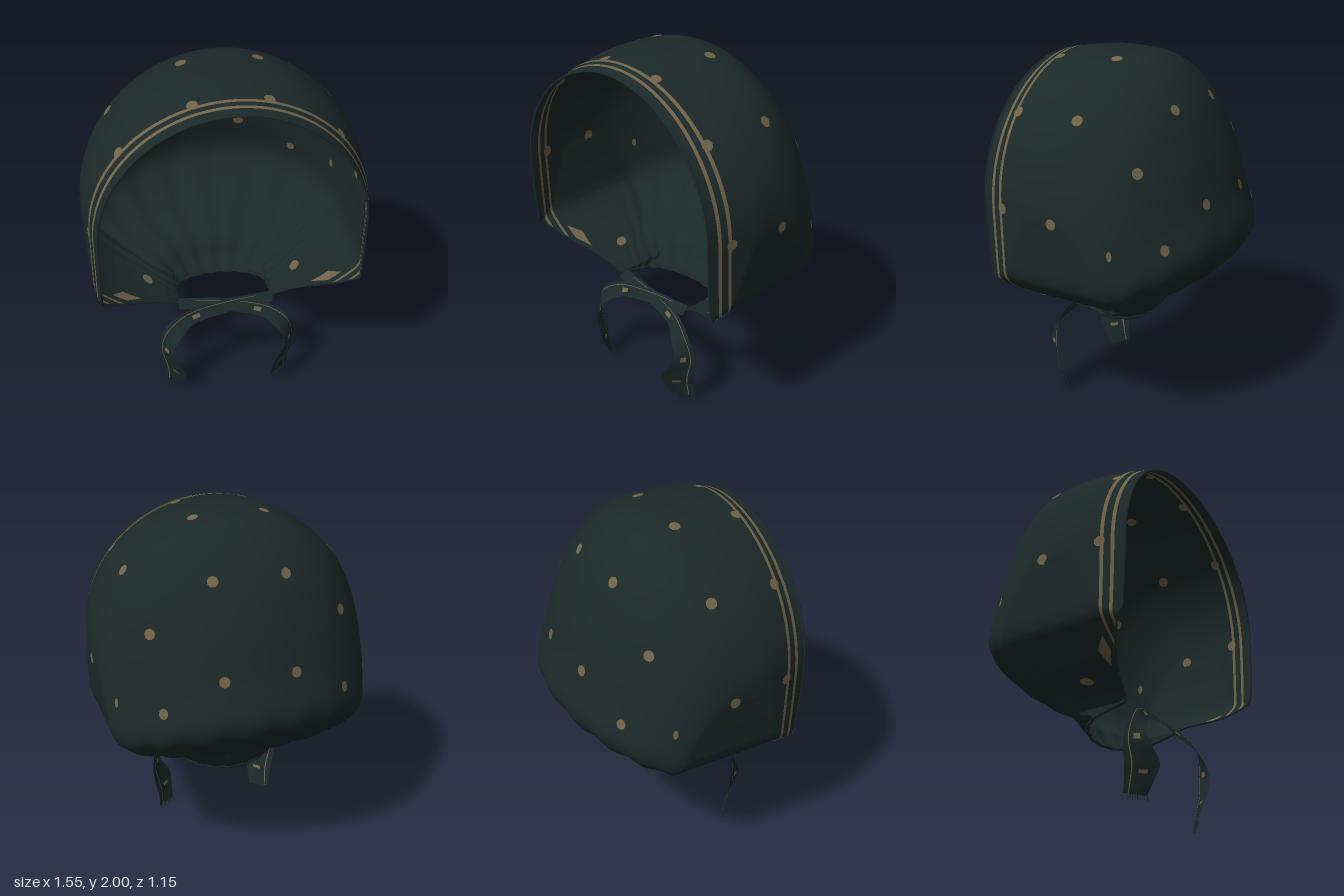
import * as THREE from 'three';

const cloth = new THREE.MeshStandardMaterial({ color: 0x1c2929, side: THREE.DoubleSide });
cloth.name = 'dark green cloth';
const gold = new THREE.MeshStandardMaterial({ color: 0x716348, side: THREE.DoubleSide });
gold.name = 'dull gold print';

const V = (x, y, z) => new THREE.Vector3(x, y, z);
const curve = (pts) => new THREE.CatmullRomCurve3(pts.map((p) => V(...p)), false, 'catmullrom');

// Centre line from the rim over the crown to the nape: [half width, y, z]
const crown = curve([
  [.703, 1.94, .55], [.722, 1.957, .48], [.737, 1.97, .42], [.763, 2, .19], [.767, 1.967, -.085],
  [.768, 1.79, -.285], [.767, 1.535, -.415], [.763, 1.27, -.5], [.74, 1.04, -.57], [.69, .89, -.51],
  [.58, .755, -.37], [.42, .655, -.18], [.32, .55, -.11], [.27, .475, -.05],
]);
// Lower edge from the cheek corner to the neck, at matching stations
const lowerEdge = curve([
  [0, .845, .55], [0, .765, .48], [0, .705, .42], [0, .655, .365], [0, .635, .345],
  [0, .622, .335], [0, .613, .33], [0, .605, .325], [0, .597, .32], [0, .59, .315],
  [0, .58, .31], [0, .573, .305], [0, .566, .3], [0, .558, .295],
]);
const STATIONS = 13;

// Widest half width allowed at each height, which draws the underside in to the neck
const limits = [
  [.4, .27], [.56, .27], [.6, .33], [.645, .435], [.69, .535], [.735, .61], [.78, .668],
  [.815, .706], [.845, .726], [.9, .74], [1.05, .754], [1.2, .763], [1.3, 2], [3, 2],
];
function widthLimit(y) {
  const i = limits.findIndex((l) => l[0] > y);
  const [a, b] = [limits[i - 1], limits[i]];
  return a[1] + (b[1] - a[1]) * (y - a[0]) / (b[0] - a[0]);
}

// Bonnet surface: u runs over the arch from left to right, v from rim to nape.
// Each arch has straight sides below a half ellipse.
function bonnet(u, v) {
  const top = crown.getPoint(v), foot = lowerEdge.getPoint(v);
  const spring = .36 + .085 * THREE.MathUtils.smoothstep(v, 0, .2);
  const h = 2 * Math.min(u, 1 - u);
  let t = spring * h / .4, x = top.x;
  if (h > .4) {
    const a = (h - .4) / .6 * Math.PI / 2;
    t = spring + (1 - spring) * Math.sin(a);
    x *= Math.cos(a);
  }
  const p = foot.lerp(V(0, top.y, top.z), t);
  p.x = (u < .5 ? 1 : -1) * Math.min(x, widthLimit(p.y));
  p.z += .088 * t * (1 - t) * Math.max(0, 1 - 5 * v);
  // gathers above the neck
  const w = THREE.MathUtils.smoothstep(v, .55, .8) * Math.sin(Math.PI * u);
  const k = 1 + .024 * w * Math.sin(u * Math.PI * 30);
  p.x *= k;
  p.z = .12 + (p.z - .12) * k;
  return p;
}

function normalAt(fn, u, v) {
  const e = 1e-3;
  const du = fn(Math.min(1, u + e), v).sub(fn(Math.max(0, u - e), v));
  const dv = fn(u, Math.min(1, v + e)).sub(fn(u, Math.max(0, v - e)));
  return du.cross(dv).normalize();
}

// Grid over part of a surface, lifted along its normal
function patch(fn, [u0, u1], [v0, v1], nu, nv, lift = 0) {
  const pos = [], idx = [];
  for (let j = 0; j <= nv; j++) for (let i = 0; i <= nu; i++) {
    const u = u0 + (u1 - u0) * i / nu, v = v0 + (v1 - v0) * j / nv;
    const p = fn(u, v);
    if (lift) p.addScaledVector(normalAt(fn, u, v), lift);
    pos.push(p.x, p.y, p.z);
    if (i < nu && j < nv) {
      const a = j * (nu + 1) + i, b = a + nu + 1;
      idx.push(a, a + 1, b, a + 1, b + 1, b);
    }
  }
  const g = new THREE.BufferGeometry();
  g.setAttribute('position', new THREE.Float32BufferAttribute(pos, 3));
  g.setIndex(idx);
  g.computeVertexNormals();
  return g;
}

function add(parent, name, geometry, material) {
  const m = new THREE.Mesh(geometry, material);
  m.name = name;
  parent.add(m);
  return m;
}

// Spots on one side, each mirrored: x, y, z and optional width and height factors
const spots = [
  [.2, 1.96, .065], [.59, 1.72, .062], [.76, 1.22, .108], [.2, 1.745, -.3], [.535, 1.48, -.275],
  [.2, 1.26, -.5], [.5, 1.09, -.395, .85, 1], [.19, 1.95, .43], [.55, 1.7, .434], [.74, 1.235, .436],
  [.73, 1.085, -.21, .45, .9], [.43, .64, .16, .9, 1.3],
];

function addSpots(parent) {
  const samples = [];
  for (let i = 1; i < 200; i++) for (let j = 1; j < 160; j++) {
    const u = i / 200, v = j / 160;
    samples.push({ u, v, p: bonnet(u, v) });
  }
  for (const side of [1, -1]) for (const [x, y, z, w = 1, h = 1] of spots) {
    const target = V(side * x, y, z);
    let best = samples[0], near = Infinity;
    for (const s of samples) {
      const d = s.p.distanceToSquared(target);
      if (d < near) { near = d; best = s; }
    }
    const n = normalAt(bonnet, best.u, best.v);
    for (const lift of [.0045, -.0045]) {
      const m = add(parent, 'spot', new THREE.CircleGeometry(.03, 12), gold);
      m.scale.set(w, h, 1);
      m.position.copy(best.p).addScaledVector(n, lift);
      m.quaternion.setFromUnitVectors(V(0, 0, 1), n);
    }
  }
}

// Ribbon tie: centre line and half-width vectors for the one hanging on the left
const tiePath = curve([
  [-.27, .555, .295], [0, .54, .325], [.2, .503, .35], [.315, .43, .395],
  [.358, .31, .4], [.32, .19, .415], [.31, .11, .395], [.31, .03, .37],
]);
const tieHalf = curve([
  [0, .024, -.02], [0, .03, -.024], [.015, .036, -.018], [.036, .028, -.028],
  [.033, 0, -.05], [.062, 0, -.066], [.055, 0, -.055], [.052, 0, -.038],
]);

function addTie(parent, side) {
  const tie = new THREE.Group();
  tie.name = side > 0 ? 'leftTie' : 'rightTie';
  const fn = (u, v) => {
    const p = tiePath.getPoint(v).addScaledVector(tieHalf.getPoint(v), 2 * u - 1);
    p.x *= side;
    if (side < 0) p.z += .012 * (1 - v); // lies over the other at the crossing
    return p;
  };
  add(tie, 'ribbon', patch(fn, [0, 1], [0, 1], 4, 60), cloth);
  for (const lift of [.003, -.003]) {
    add(tie, 'ribbonLine', patch(fn, [.77, .81], [.05, 1], 1, 60, lift), gold);
    for (const v of [.25, .55, .78])
      add(tie, 'ribbonSpot', patch(fn, [.3, .58], [v, v + .035], 2, 2, lift), gold);
  }
  // frayed threads
  for (let i = 0; i <= 10; i++) {
    const len = i % 2 ? .022 : .03;
    const thread = add(tie, 'thread', new THREE.BoxGeometry(.003, len, .003), cloth);
    thread.position.copy(fn(i / 10, 1));
    thread.position.y -= len / 2;
  }
  parent.add(tie);
}

export function createModel() {
  const model = new THREE.Group();
  model.name = 'bonnet';

  add(model, 'cap', patch(bonnet, [0, 1], [0, 1], 160, 117), cloth);

  for (const lift of [.004, -.004]) {
    // two printed stripes behind the rim, outside and inside
    for (const [a, b] of [[.69, .95], [1.55, 1.83]])
      add(model, 'rimStripe', patch(bonnet, [0, 1], [a / STATIONS, b / STATIONS], 160, 3, lift), gold);
    // long marks beside the lower edge
    for (const ends of [[.008, .026], [.974, .992]])
      add(model, 'cheekMark', patch(bonnet, ends, [2.35 / STATIONS, 3.6 / STATIONS], 2, 10, lift), gold);
  }

  addSpots(model);

  // rolled hems along the rim, the lower edges and the neck
  const hem = (name, at, r) => {
    const pts = Array.from({ length: 61 }, (_, i) => at(i / 60));
    add(model, name, new THREE.TubeGeometry(new THREE.CatmullRomCurve3(pts), 90, r, 6), cloth);
  };
  hem('rimHem', (t) => bonnet(t, 0), .006);
  hem('leftHem', (t) => bonnet(0, t), .006);
  hem('rightHem', (t) => bonnet(1, t), .006);
  hem('neckCord', (t) => bonnet(t, 1), .01);

  for (const side of [1, -1]) addTie(model, side);
  return model;
}
